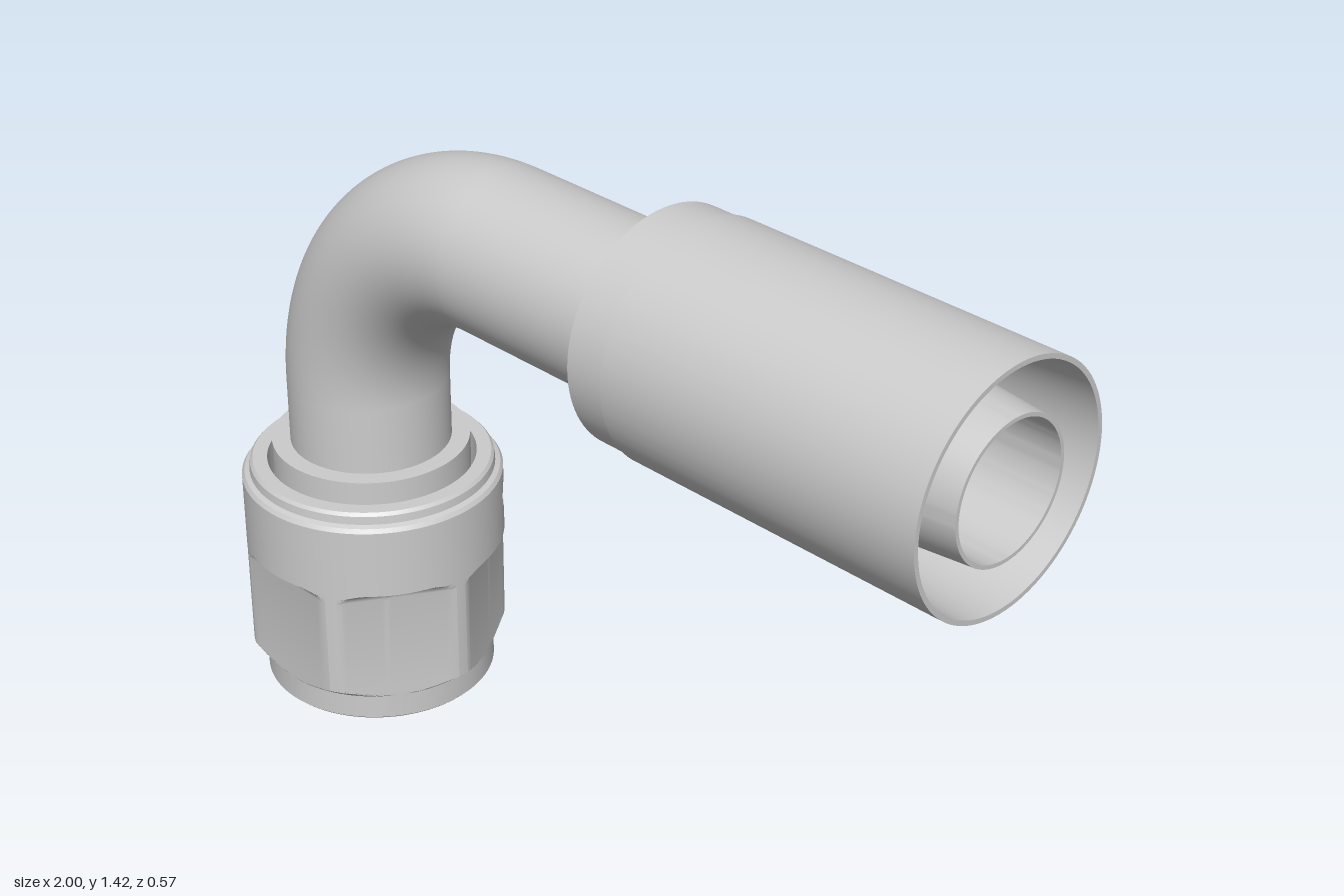
import * as THREE from 'three';
import { toCreasedNormals } from 'three/addons/utils/BufferGeometryUtils.js';

const NUT_X = -0.715, RUN_Y = 1.175, BEND = 0.445;
const TUBE_R = 0.175, BORE_R = 0.135;
const NUT_R = 0.285, FLAT = 0.255; // collar radius, hexagon apothem
const SEG = 144;

const grey = (side = THREE.FrontSide) => new THREE.MeshStandardMaterial({ color: 0xcccccc, side });

function part(name, geometry, side) {
  const mesh = new THREE.Mesh(geometry, grey(side));
  mesh.name = name;
  return mesh;
}

function lathe(points) {
  const profile = points.map(([r, y]) => new THREE.Vector2(r, y));
  return toCreasedNormals(new THREE.LatheGeometry(profile, 96), 0.4);
}

// Surface through rows x columns of points; skip(row, col) leaves a cell open
function loft(rows, cols, point, skip = () => false) {
  const pos = [], index = [];
  for (let j = 0; j < rows; j++)
    for (let i = 0; i < cols; i++) pos.push(...point(j, i));
  for (let j = 0; j < rows - 1; j++)
    for (let i = 0; i < cols; i++) {
      if (skip(j, i)) continue;
      const k = (i + 1) % cols;
      const a = j * cols + i, b = a + cols, c = j * cols + k, d = c + cols;
      index.push(a, b, c, c, b, d);
    }
  const g = new THREE.BufferGeometry();
  g.setAttribute('position', new THREE.Float32BufferAttribute(pos, 3));
  g.setIndex(index);
  return toCreasedNormals(g, 0.3);
}

const polar = (r, angle, y) => [r * Math.cos(angle), y, r * Math.sin(angle)];

// Pin hole: centre column and half size of the collar window it sits in
const HOLE = { col: 125, cols: 4, y: 0.43, half: 0.05, r: 0.033 };

function nutGeometry() {
  // Rows are [radius, y, apothem]; rows without an apothem are round
  const rows = [[0.2, 0.03], [0.222, 0], [0.25, 0], [FLAT, 0.005], [FLAT, 0.06]];
  // Chamfer that clips the lower hexagon corners
  for (let i = 1; i <= 8; i++)
    rows.push([FLAT + (NUT_R - FLAT) * i / 8, 0.06 + 0.025 * i / 8, FLAT]);
  // Fillet from the flats into the round collar
  for (let i = 0; i <= 8; i++) {
    const a = (i / 8) * Math.PI / 2;
    rows.push([NUT_R, 0.31 + 0.03 * Math.sin(a), FLAT + 0.03 * (1 - Math.cos(a))]);
  }
  const window = rows.length;
  rows.push([NUT_R, HOLE.y - HOLE.half], [NUT_R, HOLE.y + HOLE.half]);
  // Stepped top edge, counterbore and inner bore
  rows.push([NUT_R, 0.497], [0.279, 0.506], [0.268, 0.51], [0.266, 0.528], [0.26, 0.535],
    [0.228, 0.535], [0.228, 0.45], [0.2, 0.45], [0.2, 0.03]);

  return loft(rows.length, SEG, (j, i) => {
    const [R, y, apothem] = rows[j];
    const angle = i / SEG * Math.PI * 2;
    // Flats face front and back, corners point along x
    const fromFlat = angle % (Math.PI / 3) - Math.PI / 6;
    return polar(apothem ? Math.min(R, apothem / Math.cos(fromFlat)) : R, angle, y);
  }, (j, i) => j === window && Math.abs(i + 0.5 - HOLE.col) < HOLE.cols);
}

// Collar window narrowing from a square to a round blind hole
function pinHoleGeometry() {
  const centre = HOLE.col / SEG * Math.PI * 2;
  const halfAngle = HOLE.cols / SEG * Math.PI * 2;
  const rings = [[0, NUT_R], [0.33, NUT_R], [0.67, NUT_R], [1, NUT_R], [1, 0.235], [2, 0.235]];
  return loft(rings.length, 40, (j, i) => {
    const [t, r] = rings[j];
    const phi = i / 40 * Math.PI * 2, c = Math.cos(phi), s = Math.sin(phi);
    const m = Math.max(Math.abs(c), Math.abs(s));
    const k = Math.min(t, 1), size = t > 1 ? 0 : 1;
    const u = size * c * ((1 - k) * halfAngle / m + k * HOLE.r / NUT_R);
    const v = size * s * ((1 - k) * HOLE.half / m + k * HOLE.r);
    return polar(r, centre + u, HOLE.y + v);
  });
}

export function createModel() {
  const model = new THREE.Group();
  model.name = 'elbowHoseFitting';

  // Swivel nut
  const nut = new THREE.Group();
  nut.name = 'swivelNut';
  nut.position.x = NUT_X;
  nut.add(part('nutBody', nutGeometry()));
  nut.add(part('pinHole', pinHoleGeometry(), THREE.DoubleSide));
  model.add(nut);

  // Upright tube with sealing head and shoulder ring
  const bendY = RUN_Y - BEND, bendX = NUT_X + BEND;
  const stem = part('uprightTube', lathe([
    [BORE_R, bendY], [BORE_R, 0.29], [0.165, 0.24], [0.199, 0.24], [0.199, 0.42],
    [0.215, 0.42], [0.215, 0.58], [TUBE_R, 0.58], [TUBE_R, bendY],
  ]));
  stem.position.x = NUT_X;
  model.add(stem);

  // Quarter bend, outside and bore
  for (const [name, r, side] of [['bend', TUBE_R, THREE.FrontSide], ['bendBore', BORE_R, THREE.BackSide]]) {
    const bend = part(name, new THREE.TorusGeometry(BEND, r, 96, 48, Math.PI / 2), side);
    bend.rotation.z = Math.PI / 2;
    bend.position.set(bendX, bendY, 0);
    model.add(bend);
  }

  // Horizontal tube ending in the tapered hose nipple, and the crimp ferrule round it
  const run = new THREE.Group();
  run.name = 'hoseEnd';
  run.rotation.z = -Math.PI / 2;
  run.position.y = RUN_Y;
  run.add(part('horizontalTube', lathe([
    [TUBE_R, bendX], [TUBE_R, 0.3], [0.165, 0.3], [0.165, 0.75], [0.143, 1],
    [BORE_R, 1], [BORE_R, bendX],
  ])));
  run.add(part('ferrule', lathe([
    [0.16, 0.17], [0.2425, 0.17], [0.2425, 0.26], [0.247, 0.26], [0.247, 1],
    [0.237, 1], [0.2, 0.4], [0.16, 0.4],
  ])));
  model.add(run);

  return model;
}
